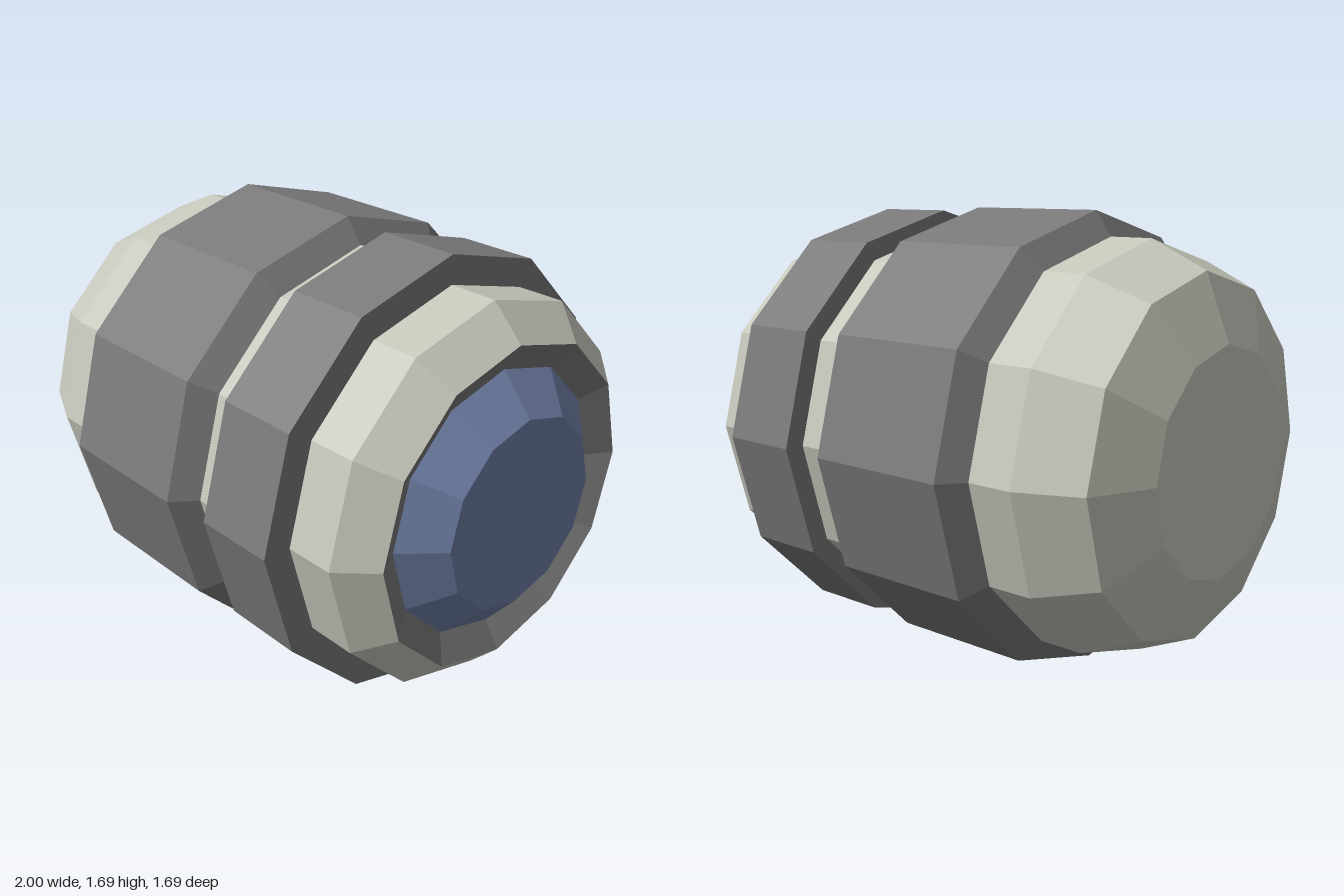
import * as THREE from 'three';

const SIDES = 12;
const AXIS_Y = 0.847;

const paint = (color) => new THREE.MeshStandardMaterial({ color, flatShading: true });

// Faceted solid of revolution around the x axis; profile is [x, radius] from back to front
function turned(name, material, profile) {
  const points = profile.map(([x, r]) => new THREE.Vector2(r, x));
  const mesh = new THREE.Mesh(new THREE.LatheGeometry(points, SIDES), material);
  mesh.name = name;
  mesh.rotation.z = -Math.PI / 2;
  return mesh;
}

export function createModel() {
  const shell = paint(0xc6c8bc);
  const grip = paint(0x7a7a7a);
  const glass = paint(0x6f7fa6);

  const barrel = new THREE.Group();
  barrel.name = 'lensBarrel';
  barrel.position.y = AXIS_Y;

  barrel.add(
    // Rounded rear housing with a flat end
    turned('rearHousing', shell, [[-1, 0], [-1, 0.415], [-0.905, 0.655], [-0.68, 0.755], [0.4, 0.755]]),
    // Wide bevelled grip ring
    turned('gripRing', grip, [[-0.51, 0.75], [-0.44, 0.847], [0.125, 0.847], [0.197, 0.75]]),
    // Straight focus ring
    turned('focusRing', grip, [[0.315, 0.7], [0.315, 0.832], [0.633, 0.832], [0.633, 0.7]]),
    // Front housing with a chamfered rim
    turned('frontHousing', shell, [[0.6, 0.725], [0.82, 0.725], [0.94, 0.603]]),
    // Recess sloping in towards the glass
    turned('frontRecess', grip, [[0.94, 0.603], [0.88, 0.5]]),
    // Raised faceted glass
    turned('frontGlass', glass, [[0.88, 0.5], [1, 0.358], [1, 0]])
  );

  const model = new THREE.Group();
  model.name = 'lens';
  model.add(barrel);
  return model;
}
